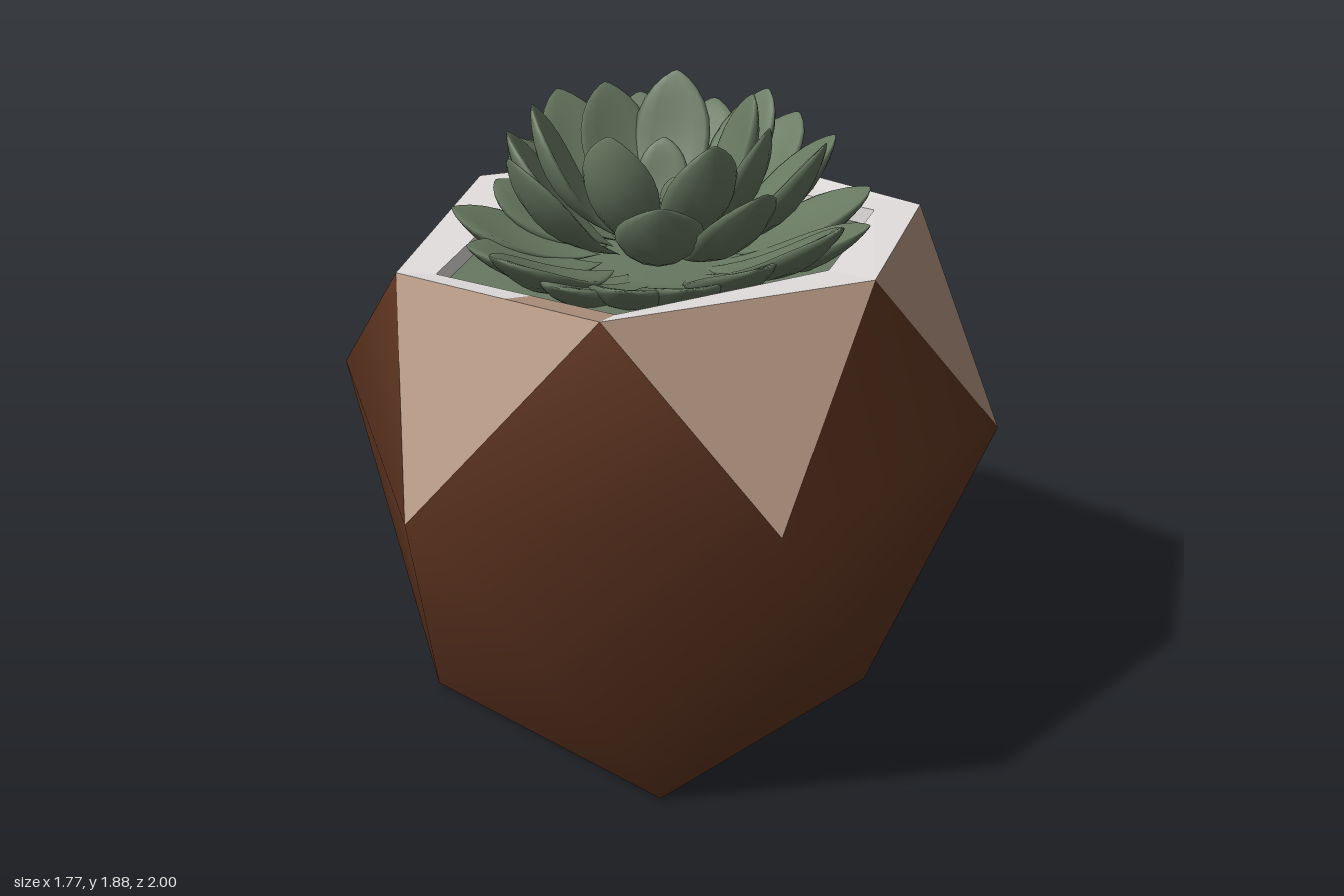
import * as THREE from 'three';
import { mergeGeometries, mergeVertices } from 'three/addons/utils/BufferGeometryUtils.js';

const V = (x, y, z) => new THREE.Vector3(x, y, z);
const mat = (name, color, side = THREE.FrontSide) =>
  Object.assign(new THREE.MeshStandardMaterial({ color, side }), { name });

// Surface from convex polygons, each turned away from (or towards) a centre point.
function facets(polys, centre, inward = false) {
  const pts = [];
  for (const poly of polys) {
    const n = new THREE.Triangle(poly[0], poly[1], poly[2]).getNormal(V(0, 0, 0));
    const out = n.dot(poly[0].clone().sub(centre)) > 0;
    const p = out !== inward ? poly : [...poly].reverse();
    for (let i = 1; i < p.length - 1; i++) pts.push(p[0], p[i], p[i + 1]);
  }
  const g = new THREE.BufferGeometry().setFromPoints(pts);
  g.computeVertexNormals();
  return g;
}

// Shared corners, so that shading runs smoothly over the edges.
function smooth(g) {
  g.deleteAttribute('uv');
  g.deleteAttribute('normal');
  const m = mergeVertices(g, 1e-5);
  m.computeVertexNormals();
  return m;
}

// Plump, pointed, slightly cupped leaf made by reshaping a sphere.
function leaf(angle, [r0, y0], [r1, y1], width, thick) {
  const g = new THREE.SphereGeometry(1, 12, 14);
  const radial = V(Math.sin(angle), 0, Math.cos(angle));
  const side = V(-Math.cos(angle), 0, Math.sin(angle));
  const len = Math.hypot(r1 - r0, y1 - y0);
  const nr = -(y1 - y0) / len, ny = (r1 - r0) / len;
  const pos = g.attributes.position, p = V(0, 0, 0);
  for (let i = 0; i < pos.count; i++) {
    p.fromBufferAttribute(pos, i);
    const t = THREE.MathUtils.clamp((p.y + 1) / 2, 0, 1);
    const ring = Math.max(Math.sqrt(Math.max(0, 1 - p.y * p.y)), 1e-6);
    const prof = Math.pow(t, 1.1) * Math.pow(1 - t, 0.75) / 0.291;
    const s = (p.x / ring) * prof, h = (p.z / ring) * prof;
    const lift = thick * h / 2 + 0.16 * width * s * s - 0.12 * len * Math.sin(Math.PI * t);
    const r = r0 + (r1 - r0) * t + nr * lift;
    const y = y0 + (y1 - y0) * t + ny * lift;
    p.copy(radial).multiplyScalar(r).addScaledVector(side, s * width / 2);
    pos.setXYZ(i, p.x, y, p.z);
  }
  return smooth(g);
}

export function createModel() {
  const model = new THREE.Group();
  model.name = 'pottedSucculent';
  const brown = mat('brownGlaze', 0x633722, THREE.DoubleSide);
  const clay = mat('paleClay', 0xae917e, THREE.DoubleSide);
  const white = mat('whiteRim', 0xe4dfdf);
  const green = mat('leafGreen', 0x677860);
  const add = (name, geometry, material, parent = model) => {
    const m = new THREE.Mesh(geometry, material);
    m.name = name;
    parent.add(m);
  };

  // Corner rings of the pot, counter-clockwise from the front
  const rim = [V(-0.4, 1.44, 0.63), V(0.4, 1.52, 0.63), V(0.74, 1.52, -0.09),
    V(0.4, 1.48, -0.73), V(-0.41, 1.46, -0.73), V(-0.82, 1.44, -0.09)];
  const mid = [V(0.02, 0.93, 1), V(0.885, 0.99, 0.45), V(0.83, 0.94, -0.58),
    V(-0.12, 0.92, -1), V(-0.875, 0.93, -0.55), V(-0.885, 0.96, 0.43)];
  const inner = [V(-0.31, 1.44, 0.56), V(0.37, 1.505, 0.54), V(0.57, 1.5, -0.1),
    V(0.33, 1.48, -0.6), V(-0.28, 1.45, -0.57), V(-0.61, 1.44, -0.06)];
  const base = [V(-0.47, 0.005, 0.47), V(0.47, 0.005, 0.47), V(0.47, 0, -0.46), V(-0.47, 0, -0.46)];
  const sideR = V(0.76, 0.46, -0.03), sideL = V(-0.76, 0.46, -0.03);
  const centre = V(0, 0.8, 0);
  const next = (a, i) => a[(i + 1) % a.length];

  // Pale triangles hanging from the rim
  add('paleFacets', facets(rim.map((p, i) => [p, next(rim, i), mid[i]]), centre), clay);

  // Brown body: triangles rising to the rim, and sides narrowing to an open square foot
  const [f, r1, r2, b, l2, l1] = mid, [fl, fr, br, bl] = base;
  add('body', smooth(facets([
    ...rim.map((p, i) => [p, mid[i], mid[(i + 5) % 6]]),
    [f, fl, fr], [f, fr, r1], [f, l1, fl],
    [b, br, bl], [b, r2, br], [b, bl, l2],
    [r1, sideR, r2], [r1, fr, sideR], [r2, sideR, br], [sideR, fr, br],
    [l1, l2, sideL], [l1, sideL, fl], [l2, bl, sideL], [sideL, bl, fl],
  ], centre)), brown);

  // Rim, with an unpainted patch on the right of its front edge
  const outMid = rim[0].clone().lerp(rim[1], 0.55), inMid = inner[0].clone().lerp(inner[1], 0.55);
  const rimFaces = rim.slice(1).map((p, k) => {
    const i = k + 1;
    return [p, next(rim, i), next(inner, i), inner[i]];
  });
  rimFaces.push([rim[0], outMid, inMid, inner[0]]);
  add('rim', facets(rimFaces, centre), white);
  add('rimPatch', facets([[outMid, rim[1], inner[1], inMid]], centre), clay);

  // Inside wall and mossy filling
  const floor = inner.map((p) => V(p.x, p.y - 0.05, p.z));
  add('innerWall', facets(inner.map((p, i) => [p, next(inner, i), next(floor, i), floor[i]]),
    V(0, 1.45, 0), true), white);
  const heart = V(0, 1.41, 0);
  add('filling', facets(floor.map((p, i) => [heart, p, next(floor, i)]), centre), green);

  // Rosette tiers: base [r, y], width, thickness, and leaf tips [degrees from front, r, y]
  const tiers = [
    { name: 'outerLeaves', from: [0.16, 1.42], width: 0.25, thick: 0.06, tips: [
      [357, 0.61, 1.58], [14, 0.56, 1.52], [34, 0.55, 1.53], [53, 0.54, 1.53], [75, 0.54, 1.56],
      [100, 0.61, 1.63], [119, 0.62, 1.57], [146, 0.64, 1.58], [190, 0.6, 1.58], [242, 0.62, 1.6],
      [265, 0.62, 1.62], [284, 0.54, 1.56], [308, 0.59, 1.55], [332, 0.56, 1.52]] },
    { name: 'middleLeaves', from: [0.12, 1.45], width: 0.25, thick: 0.06, tips: [
      [345, 0.47, 1.8], [45, 0.42, 1.72], [82, 0.47, 1.74], [113, 0.5, 1.82], [142, 0.52, 1.76],
      [173, 0.55, 1.74], [205, 0.58, 1.72], [228, 0.55, 1.74], [258, 0.51, 1.79], [290, 0.46, 1.72],
      [315, 0.42, 1.8]] },
    { name: 'upperLeaves', from: [0.09, 1.47], width: 0.23, thick: 0.06, tips: [
      [20, 0.32, 1.88], [70, 0.35, 1.86], [110, 0.34, 1.85], [150, 0.29, 1.88], [172, 0.42, 1.84],
      [212, 0.32, 1.88], [250, 0.33, 1.85], [310, 0.35, 1.87]] },
    { name: 'innerLeaves', from: [0.06, 1.48], width: 0.15, thick: 0.05, tips: [
      [0, 0.17, 1.68], [72, 0.18, 1.7], [140, 0.18, 1.72], [215, 0.18, 1.72], [290, 0.17, 1.7]] },
    { name: 'budLeaves', from: [0.03, 1.48], width: 0.09, thick: 0.04, tips: [
      [35, 0.08, 1.63], [105, 0.08, 1.63], [180, 0.08, 1.64], [250, 0.08, 1.64], [325, 0.08, 1.63]] },
  ];
  const plant = new THREE.Group();
  plant.name = 'succulent';
  plant.position.set(0.01, 0, 0);
  model.add(plant);
  for (const { name, from, width, thick, tips } of tiers) {
    const leaves = tips.map(([deg, r, y]) =>
      leaf(THREE.MathUtils.degToRad(deg), from, [r, y], width, thick));
    add(name, mergeGeometries(leaves), green, plant);
  }
  return model;
}
